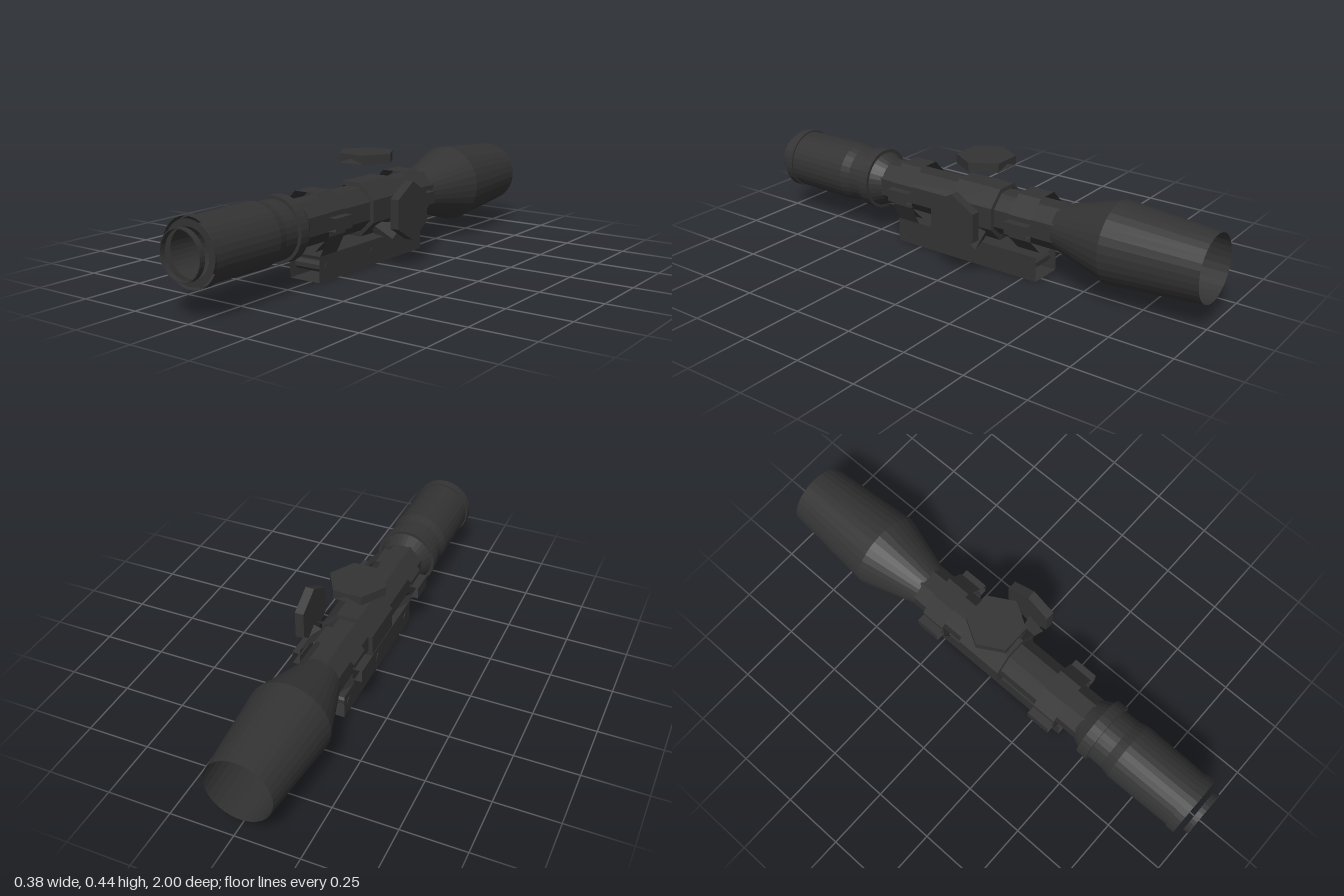
import * as THREE from 'three';
import { ConvexGeometry } from 'three/addons/geometries/ConvexGeometry.js';

const CX = -0.03, CY = 0.2235, CZ = -0.025; // optical axis and turret centre

// Flat polygons, each fanned from its first corner
function faces(polys) {
  const pos = [];
  for (const p of polys)
    for (let i = 1; i < p.length - 1; i++) pos.push(...p[0], ...p[i], ...p[i + 1]);
  const g = new THREE.BufferGeometry();
  g.setAttribute('position', new THREE.Float32BufferAttribute(pos, 3));
  g.computeVertexNormals();
  return g;
}

// Strip of walls along z following an outline, without end caps
function walls(pts, z0, z1, closed = true) {
  const n = closed ? pts.length : pts.length - 1, polys = [];
  for (let i = 0; i < n; i++) {
    const a = pts[i], b = pts[(i + 1) % pts.length];
    polys.push([[...a, z1], [...a, z0], [...b, z0], [...b, z1]]);
  }
  return faces(polys);
}

const rect = (x0, y0, x1, y1) => [[x0, y0], [x1, y0], [x1, y1], [x0, y1]];

// Turned part around the optical axis: rising z faces outward, falling z inward
function turned(profile, sides = 32) {
  const g = new THREE.LatheGeometry(
    profile.map(([r, z]) => new THREE.Vector2(r, z)), sides, Math.PI / sides);
  return g.rotateX(Math.PI / 2).translate(CX, CY, 0);
}

// Hexagonal knob centred on its own origin, optionally notched in two flats
function knobGeometry(notched) {
  const r = 0.115, h = 0.0185, top = [], polys = [];
  for (let i = 0; i < 6; i++) {
    const a = (i * Math.PI) / 3;
    top.push([r * Math.cos(a), h, -r * Math.sin(a)]);
  }
  const low = top.map(([x, , z]) => [x, -h, z]);
  polys.push(top, [...low].reverse());
  for (let i = 0; i < 6; i++) {
    const j = (i + 1) % 6;
    if (notched && i % 3 === 1) {
      const m = [(top[i][0] + top[j][0]) / 2, 0.002, (top[i][2] + top[j][2]) / 2];
      polys.push([m, low[j], top[j], top[i], low[i]]);
    } else polys.push([low[i], low[j], top[j], top[i]]);
  }
  return faces(polys);
}

export function createModel() {
  const group = new THREE.Group();
  const black = new THREE.MeshStandardMaterial({
    color: 0x333333, flatShading: true, side: THREE.DoubleSide,
  });
  black.name = 'matte black';
  const add = (name, geometry) => {
    const m = new THREE.Mesh(geometry, black);
    m.name = name;
    group.add(m);
    return m;
  };

  // Open objective bell
  add('objectiveBell', turned([[0.13, -1], [0.1605, -0.62], [0.088, -0.38]]));

  // Octagonal main tube and turret housing
  add('mainTube', turned([[0.092, -0.39], [0.092, 0.45]], 8));
  add('turretHousing', turned([[0.097, -0.127], [0.114, -0.125], [0.114, 0.073], [0.097, 0.075]], 8));

  // Eyepiece with its rims, then the inner sleeve and the lens ring in front
  add('eyepiece', turned([
    [0.088, 0.44], [0.112, 0.49], [0.125, 0.49], [0.125, 0.535], [0.112, 0.535],
    [0.113, 0.6], [0.122, 0.64], [0.118, 0.92], [0.124, 0.92], [0.124, 0.957],
  ]));
  add('eyepieceSleeve', turned([[0.115, 0.955], [0.088, 0.955], [0.088, 0.45]]));
  add('lensRing', turned([[0.092, 0.978], [0.092, 1], [0.088, 1], [0.088, 0.978]]));

  // Top and side adjustment knobs
  add('topKnob', knobGeometry(true)).position.set(CX, 0.418, CZ);
  const side = add('sideKnob', knobGeometry(false));
  side.rotation.z = -Math.PI / 2;
  side.position.set(0.173, 0.225, CZ);

  // Tapered braces holding the side knob
  for (const s of [-1, 1])
    add('sideKnobBrace', new ConvexGeometry([
      [0.01, 0.173, 0.05], [0.155, 0.173, 0.01], [0.155, 0.125, 0.085], [0.045, 0.125, 0.05],
    ].map(([x, y, z]) => new THREE.Vector3(x, y, CZ + s * z))));

  // Mounting rings with clamp flanges and a leg down to the base
  for (const [z0, z1, s] of [[0.26, 0.36, 1], [-0.31, -0.21, -1]]) {
    add('mountRing', turned([[0.119, z0], [0.119, z1]], 8));
    for (const f of [-1, 1]) {
      const x = CX + f * 0.123;
      add('clampFlange', walls(rect(x - 0.019, 0.2, x + 0.019, 0.25), z0, z1));
    }
    const leg = [[CX + s * 0.07, 0.1], [CX + s * 0.11, 0.18]];
    add('mountLeg', walls(s > 0 ? leg : leg.reverse(), z0, z1, false));
  }

  // Open-ended base rail with three cross bolts
  add('baseRail', walls(rect(-0.1, 0, 0.04, 0.1), -0.31, 0.365));
  for (const z of [0.315, 0.025, -0.265]) {
    const bolt = new THREE.CylinderGeometry(0.0215, 0.0215, 0.143, 8, 1, false, Math.PI / 8);
    add('crossBolt', bolt.rotateZ(Math.PI / 2).translate(CX, 0.05, z));
  }
  return group;
}
